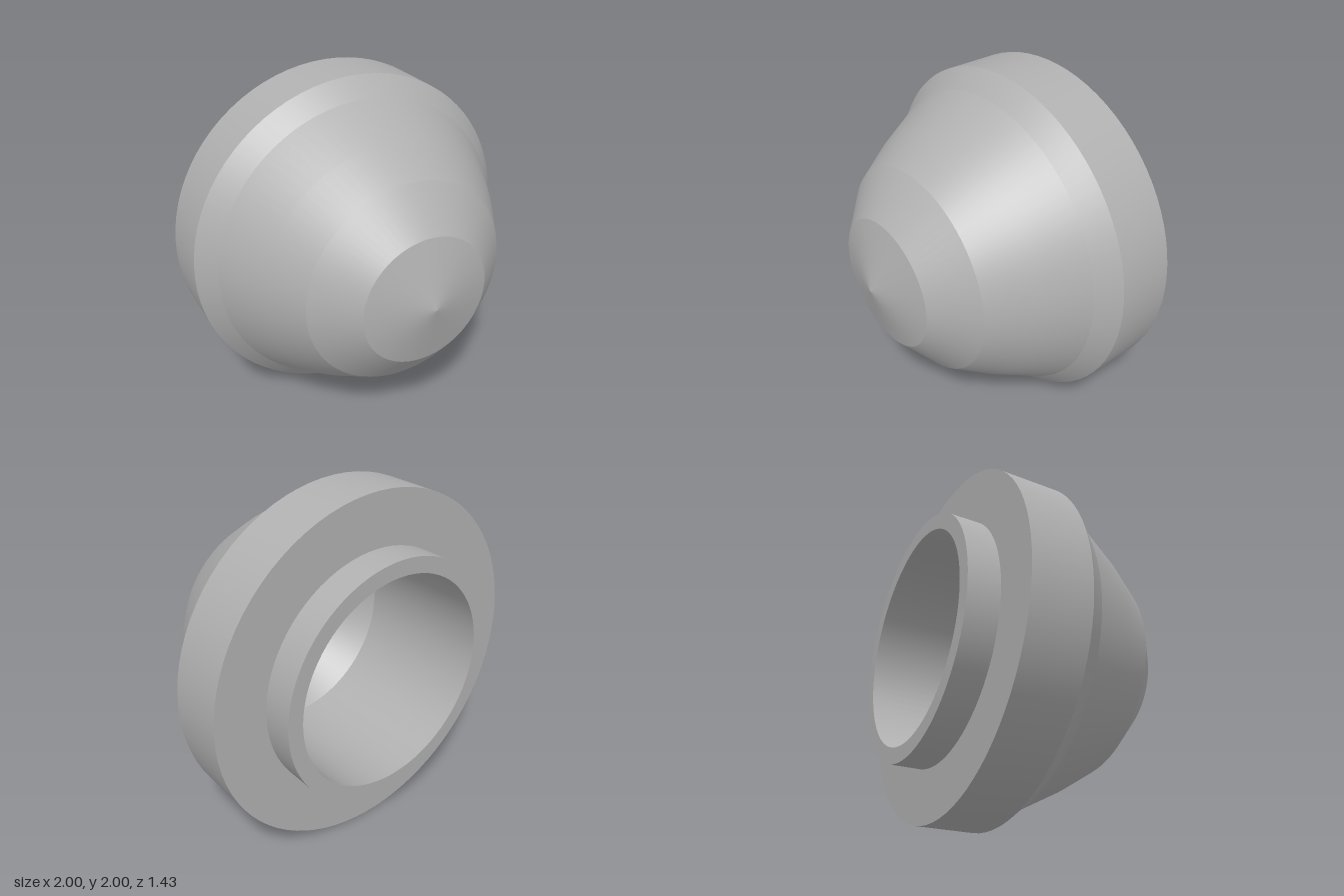
import * as THREE from 'three';
import { toCreasedNormals } from 'three/addons/utils/BufferGeometryUtils.js';

export function createModel() {
  const group = new THREE.Group();
  const grey = new THREE.MeshStandardMaterial({ color: 0xb0b0b0 });
  grey.name = 'plain grey';

  // Turns a [radius, z] profile around the z axis, creased between bands.
  function turned(name, profile) {
    const points = profile.map(([r, z]) => new THREE.Vector2(r, z));
    const geometry = new THREE.LatheGeometry(points, 80);
    geometry.rotateX(Math.PI / 2);
    const mesh = new THREE.Mesh(toCreasedNormals(geometry, 0.14), grey);
    mesh.name = name;
    mesh.position.y = 1;
    group.add(mesh);
  }

  // Hollow inside: straight bore closed by a tapering end
  turned('bore', [[0, 0.59], [0.36, 0.5], [0.61, 0.115], [0.61, -0.715]]);

  // Narrow ring at the back
  turned('rearCollar', [[0.61, -0.715], [0.7, -0.715], [0.7, -0.535]]);

  // Widest ring with its flat rear face
  turned('flange', [[0.7, -0.535], [1, -0.535], [1, -0.195]]);

  // Stepped conical front ending in a shallow point
  turned('nose', [
    [1, -0.195], [0.9, -0.08], [0.75, 0.2], [0.61, 0.415], [0.38, 0.61], [0, 0.713],
  ]);

  return group;
}
